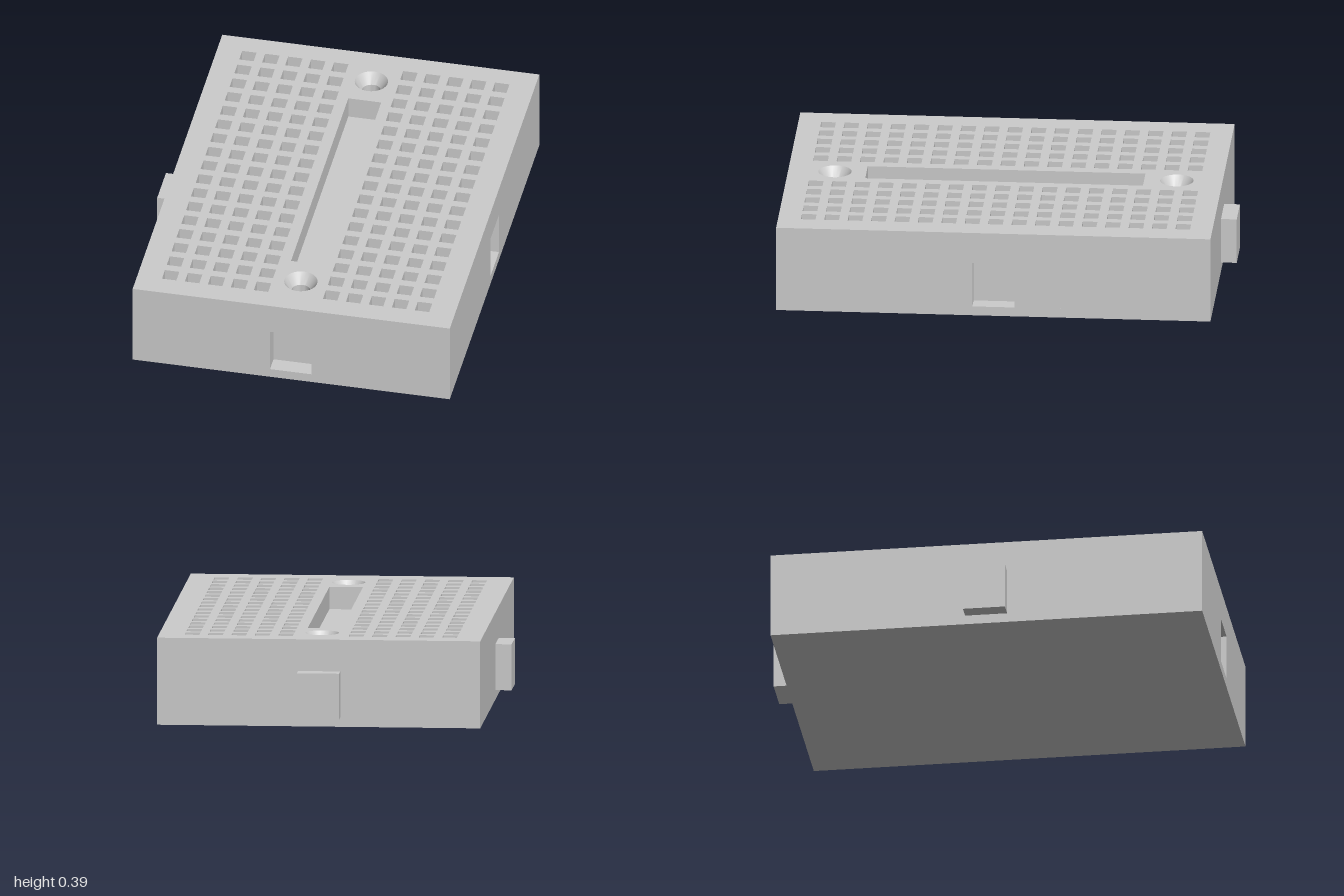
import * as THREE from 'three';
import { toCreasedNormals } from 'three/addons/utils/BufferGeometryUtils.js';

// Body extents and heights
const X0 = -0.682, X1 = 0.754, Z0 = -0.93, Z1 = 1.0;
const TOP = 0.39, FLOOR = 0.29, JOINT_LOW = 0.042, JOINT_HIGH = 0.248;
const JOINT_A = -0.06, JOINT_B = 0.128, JOINT_DEPTH = 0.075;
const SCREW_X = 0.036, SCREW_Z = [-0.727, 0.792], SCREW_R = 0.074;

// Shapes are drawn in plan (x, z), counter-clockwise, and extruded upwards
const plan = (Type, pts) => new Type(pts.map(([x, z]) => new THREE.Vector2(x, -z)));
const rect = (Type, x0, x1, z0, z1) => plan(Type, [[x0, z1], [x1, z1], [x1, z0], [x0, z0]]);

export function createModel() {
  const group = new THREE.Group();
  const material = new THREE.MeshStandardMaterial({ color: 0xcccccc });
  const inner = new THREE.MeshStandardMaterial({ color: 0xcccccc, side: THREE.DoubleSide });

  const add = (name, geometry, mat = material) => {
    const mesh = new THREE.Mesh(geometry, mat);
    mesh.name = name;
    group.add(mesh);
    return mesh;
  };
  const slab = (name, shape, y0, y1) => {
    const geometry = new THREE.ExtrudeGeometry(shape, { depth: y1 - y0, bevelEnabled: false, curveSegments: 16 });
    geometry.rotateX(-Math.PI / 2).translate(0, y0, 0);
    add(name, geometry);
  };

  // Solid base, and the layer with sockets in the front and +x sides
  slab('base', rect(THREE.Shape, X0, X1, Z0, Z1), 0, JOINT_LOW);
  slab('socketLayer', plan(THREE.Shape, [
    [X0, Z1],
    [JOINT_A, Z1], [JOINT_A, Z1 - JOINT_DEPTH], [JOINT_B, Z1 - JOINT_DEPTH], [JOINT_B, Z1],
    [X1, Z1],
    [X1, JOINT_B], [X1 - JOINT_DEPTH, JOINT_B], [X1 - JOINT_DEPTH, JOINT_A], [X1, JOINT_A],
    [X1, Z0], [X0, Z0],
  ]), JOINT_LOW, JOINT_HIGH);
  slab('holeFloor', rect(THREE.Shape, X0, X1, Z0, Z1), JOINT_HIGH, FLOOR);

  // Deck with two banks of square contact holes
  const deck = rect(THREE.Shape, X0, X1, Z0, Z1);
  const half = 0.0325, pitch = 0.104;
  for (const firstX of [-0.538, 0.191]) {
    for (let col = 0; col < 5; col++) {
      for (let row = 0; row < 17; row++) {
        const x = firstX + col * pitch, z = -0.798 + row * pitch;
        deck.holes.push(rect(THREE.Path, x - half, x + half, z - half, z + half));
      }
    }
  }
  // Centre channel and screw openings
  deck.holes.push(rect(THREE.Path, -0.038, 0.111, -0.582, 0.652));
  for (const z of SCREW_Z) {
    deck.holes.push(new THREE.Path().absarc(SCREW_X, -z, SCREW_R, 0, Math.PI * 2, false));
  }
  slab('deck', deck, FLOOR, TOP);

  // Countersinks lining the screw openings
  const profile = [[0.042, FLOOR], [0.042, 0.34], [SCREW_R, TOP]].map(([r, y]) => new THREE.Vector2(r, y));
  for (const z of SCREW_Z) {
    const sink = toCreasedNormals(new THREE.LatheGeometry(profile, 32), 0.5);
    add('screwCountersink', sink, inner).position.set(SCREW_X, 0, z);
  }

  // Joining tabs on the back and -x sides
  slab('backTab', rect(THREE.Shape, JOINT_A, JOINT_B, -1, Z0), JOINT_LOW, JOINT_HIGH);
  slab('sideTab', rect(THREE.Shape, -0.754, X0, JOINT_A, JOINT_B), JOINT_LOW, JOINT_HIGH);

  return group;
}
